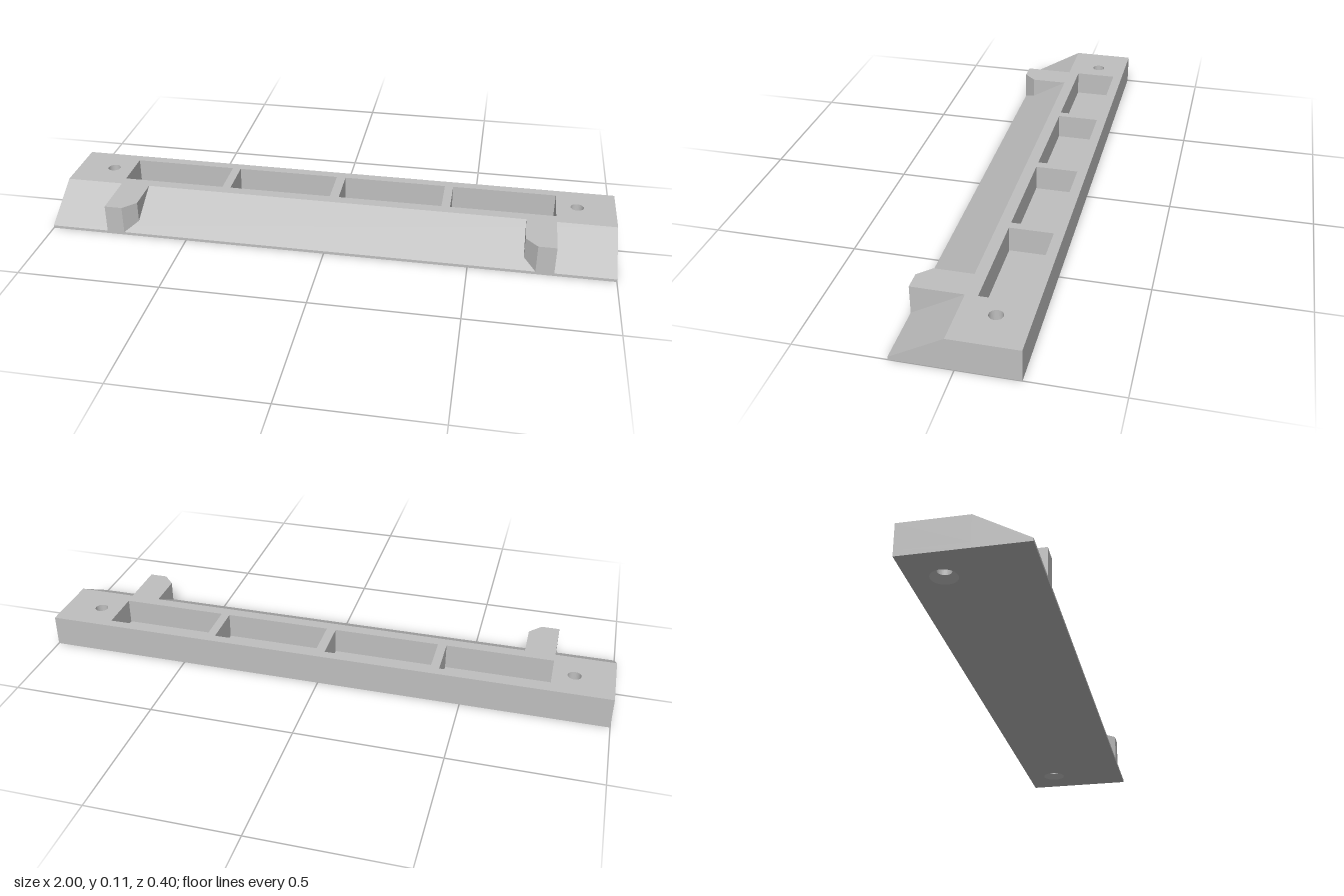
import * as THREE from 'three';

const LENGTH = 2, BACK = -0.2, FRONT = 0.2, CREST = 0.025;
const HEIGHT = 0.11, FLOOR = 0.02, LIP = 0.01;
const HOLE_X = 0.865, HOLE_Z = -0.09, HOLE_R = 0.023, SINK_R = 0.043;

// Outline given as [x, z] points; shape y is -z so the extrusion can be stood up.
function plan(points, Type = THREE.Shape) {
  return new Type(points.map(([x, z]) => new THREE.Vector2(x, -z)));
}

function rect(x0, x1, z0, z1, Type) {
  return plan([[x0, z1], [x1, z1], [x1, z0], [x0, z0]], Type);
}

function circle(x, z, r) {
  return new THREE.Path().absarc(x, -z, r, 0, Math.PI * 2, true);
}

// Extrudes a plan outline upward from y0 to y1.
function raise(shape, y0, y1) {
  const geo = new THREE.ExtrudeGeometry(shape, { depth: y1 - y0, bevelEnabled: false, curveSegments: 16 });
  return geo.rotateX(-Math.PI / 2).translate(0, y0, 0);
}

export function createModel() {
  const model = new THREE.Group();
  model.name = 'mountingBar';
  const grey = new THREE.MeshStandardMaterial({ color: 0xbfbfbf });
  grey.name = 'grey';
  const greyInside = grey.clone();
  greyInside.name = 'greyInside';
  greyInside.side = THREE.DoubleSide;

  const add = (name, geo, material = grey) => {
    const mesh = new THREE.Mesh(geo, material);
    mesh.name = name;
    model.add(mesh);
    return mesh;
  };

  // Floor plate with the wide countersink openings
  const base = rect(-LENGTH / 2, LENGTH / 2, BACK, CREST);
  for (const s of [-1, 1]) base.holes.push(circle(s * HOLE_X, HOLE_Z, SINK_R));
  add('floorPlate', raise(base, 0, FLOOR));

  // Upper frame with four pockets and two screw holes
  const frame = rect(-LENGTH / 2, LENGTH / 2, BACK, CREST);
  for (const x of [-0.605, -0.2025, 0.2025, 0.605]) {
    frame.holes.push(rect(x - 0.186, x + 0.186, -0.165, -0.015, THREE.Path));
  }
  for (const s of [-1, 1]) frame.holes.push(circle(s * HOLE_X, HOLE_Z, HOLE_R));
  add('pocketFrame', raise(frame, FLOOR, HEIGHT));

  // Sloping front, extruded along the length
  const wedge = new THREE.Shape([
    new THREE.Vector2(-FRONT, 0), new THREE.Vector2(-CREST, 0),
    new THREE.Vector2(-CREST, HEIGHT), new THREE.Vector2(-FRONT, LIP),
  ]);
  const wedgeGeo = new THREE.ExtrudeGeometry(wedge, { depth: LENGTH, bevelEnabled: false });
  add('frontRamp', wedgeGeo.rotateY(Math.PI / 2).translate(-LENGTH / 2, 0, 0));

  for (const s of [-1, 1]) {
    const side = s > 0 ? 'left' : 'right';

    // Chamfered stop block standing on the ramp
    const block = plan([
      [s * 0.793, CREST], [s * 0.793, FRONT], [s * 0.73, FRONT],
      [s * 0.688, 0.155], [s * 0.688, CREST],
    ]);
    add(side + 'StopBlock', raise(block, 0.001, HEIGHT));

    // Conical countersink under the screw hole
    const cone = new THREE.CylinderGeometry(HOLE_R, SINK_R, FLOOR, 32, 1, true);
    add(side + 'Countersink', cone, greyInside).position.set(s * HOLE_X, FLOOR / 2, HOLE_Z);
  }

  return model;
}
